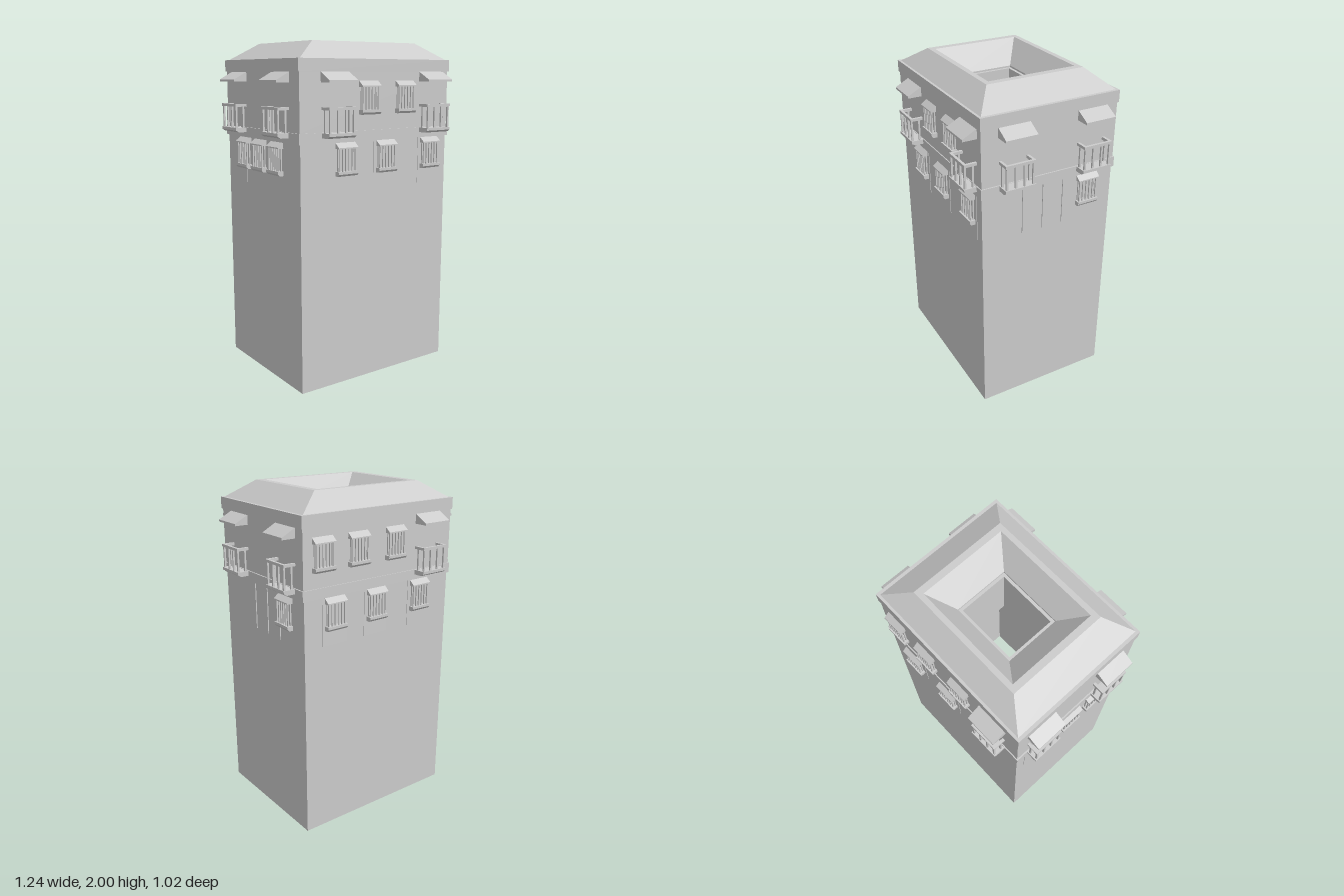
import * as THREE from 'three';

const stone = new THREE.MeshStandardMaterial({ color: 0xcccccc, flatShading: true, side: THREE.DoubleSide });
const CX = -0.004, CZ = -0.003;

function mesh(geo, name, parent, x = 0, y = 0, z = 0) {
  const m = new THREE.Mesh(geo, stone);
  m.name = name;
  m.position.set(x, y, z);
  parent.add(m);
  return m;
}

// Skin through nested rectangles [half width, half depth, height]
function rectLoft(rings) {
  const pos = [], idx = [];
  for (const [hx, hz, y] of rings) pos.push(-hx, y, hz, hx, y, hz, hx, y, -hz, -hx, y, -hz);
  for (let r = 0; r < rings.length - 1; r++) {
    for (let i = 0; i < 4; i++) {
      const a = r * 4 + i, b = r * 4 + (i + 1) % 4;
      idx.push(a, b, b + 4, a, b + 4, a + 4);
    }
  }
  const g = new THREE.BufferGeometry();
  g.setAttribute('position', new THREE.Float32BufferAttribute(pos, 3));
  g.setIndex(idx);
  const flat = g.toNonIndexed();
  flat.computeVertexNormals();
  return flat;
}

// Profile of [outward, height] points extruded along the wall
function ledge(points, width) {
  const shape = new THREE.Shape(points.map(p => new THREE.Vector2(p[0], p[1])));
  const g = new THREE.ExtrudeGeometry(shape, { depth: width, bevelEnabled: false });
  g.translate(0, 0, -width / 2);
  g.rotateY(-Math.PI / 2);
  return g;
}

const hoodGeo = ledge([[0, 0.155], [0.035, 0.155], [0.035, 0.162], [0, 0.19]], 0.136);
const sillGeo = ledge([[0, 0], [0.026, 0], [0.036, 0.012], [0.036, 0.027], [0, 0.027]], 0.136);
const barGeo = new THREE.BoxGeometry(0.008, 0.13, 0.008);
const awningGeo = ledge([[0, 0], [0.085, 0], [0.085, 0.012], [0, 0.058]], 0.19);
const slabGeo = ledge([[0, 0], [0.06, 0], [0.08, 0.012], [0.08, 0.028], [0, 0.028]], 0.186);
const postGeo = new THREE.BoxGeometry(0.011, 0.13, 0.011);
const panelGeo = new THREE.BoxGeometry(0.17, 0.28, 0.004);
const stripGeo = new THREE.BoxGeometry(0.1, 0.28, 0.006);

// Barred window with sloping hood and sill
function barredWindow(wall, u, y) {
  const g = new THREE.Group();
  g.name = 'barredWindow';
  g.position.set(u, y, 0);
  wall.add(g);
  mesh(hoodGeo, 'windowHood', g);
  mesh(sillGeo, 'windowSill', g);
  for (let i = 0; i < 6; i++) mesh(barGeo, 'windowBar', g, -0.055 + i * 0.022, 0.091, 0.024);
  for (const s of [-1, 1]) mesh(barGeo, 'sideBar', g, s * 0.055, 0.091, 0.008);
}

// Railed balcony with an awning above it
function balcony(wall, u) {
  const g = new THREE.Group();
  g.name = 'balcony';
  g.position.set(u, 1.47, 0);
  wall.add(g);
  mesh(awningGeo, 'awning', g, 0, 0.302, 0);
  mesh(slabGeo, 'balconySlab', g);
  mesh(new THREE.BoxGeometry(0.182, 0.016, 0.016), 'frontRail', g, 0, 0.161, 0.069);
  for (const x of [-0.08, -0.027, 0.027, 0.08]) mesh(postGeo, 'railPost', g, x, 0.09, 0.069);
  for (const s of [-1, 1]) {
    mesh(new THREE.BoxGeometry(0.016, 0.016, 0.064), 'sideRail', g, s * 0.083, 0.161, 0.032);
    mesh(postGeo, 'sidePost', g, s * 0.082, 0.09, 0.024);
  }
}

export function createModel() {
  const model = new THREE.Group();
  model.name = 'towerBlock';

  // Tower shell: open-bottomed shaft, string course, upper storey
  const shell = (rings, name) => mesh(rectLoft(rings), name, model, CX, 0, CZ);
  shell([[0.535, 0.422, 0], [0.535, 0.422, 1.44]], 'lowerWalls');
  shell([[0.535, 0.422, 1.44], [0.547, 0.43, 1.44], [0.547, 0.43, 1.5], [0.539, 0.424, 1.5]], 'stringCourse');
  shell([[0.539, 0.424, 1.5], [0.539, 0.424, 1.83]], 'upperWalls');

  // Cornice, hipped roof sloping out and in, and the light well
  shell([[0.539, 0.424, 1.83], [0.547, 0.43, 1.83], [0.547, 0.43, 1.9], [0.528, 0.415, 1.9]], 'cornice');
  shell([[0.528, 0.415, 1.9], [0.373, 0.3, 2], [0.333, 0.269, 2], [0.198, 0.165, 1.87], [0.198, 0.165, 1.86]], 'roof');
  shell([[0.198, 0.165, 1.86], [0.18, 0.147, 1.86], [0.18, 0.147, 1.5]], 'lightWell');

  // Facades: u runs to the right as seen from outside each wall
  const facades = [
    { name: 'frontFacade', turn: 0, at: [0, 0.42], upper: [-0.077, 0.188], lower: [-0.24, 0.05, 0.39], balconies: [-0.31, 0.4], panels: [-0.24, 0.05, 0.39] },
    { name: 'leftFacade', turn: 1, at: [0.533, 0], upper: [], lower: [0.25], balconies: [-0.225, 0.265], strips: [-0.12, 0.01, 0.14] },
    { name: 'backFacade', turn: 2, at: [0, -0.426], upper: [-0.408, -0.168, 0.1], lower: [-0.328, -0.032, 0.3], balconies: [0.355], panels: [-0.328, -0.032, 0.3] },
    { name: 'rightFacade', turn: -1, at: [-0.54, 0], upper: [], lower: [-0.2, -0.012, 0.175], balconies: [-0.265, 0.225], panels: [-0.28] },
  ];
  for (const f of facades) {
    const wall = new THREE.Group();
    wall.name = f.name;
    wall.position.set(f.at[0], 0, f.at[1]);
    wall.rotation.y = f.turn * Math.PI / 2;
    model.add(wall);
    f.upper.forEach(u => barredWindow(wall, u, 1.59));
    f.lower.forEach(u => barredWindow(wall, u, 1.25));
    f.balconies.forEach(u => balcony(wall, u));
    (f.panels || []).forEach(u => mesh(panelGeo, 'wallPanel', wall, u, 1.3, 0));
    (f.strips || []).forEach(u => mesh(stripGeo, 'wallStrip', wall, u, 1.3, 0.002));
  }
  return model;
}
